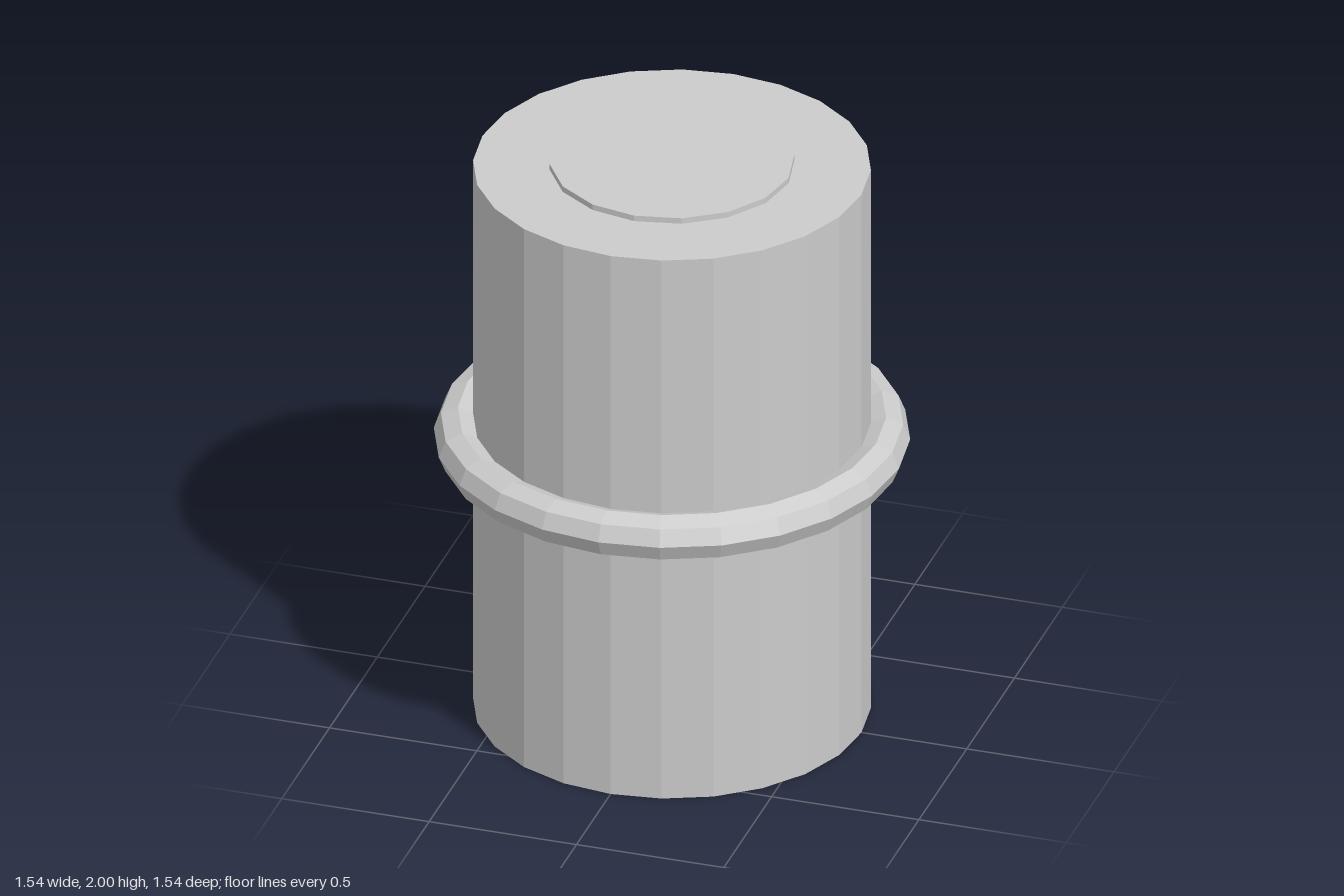
import * as THREE from 'three';

export function createModel() {
  const group = new THREE.Group();
  const material = new THREE.MeshStandardMaterial({ color: 0xcccccc, flatShading: true });

  function add(name, geometry, y) {
    const mesh = new THREE.Mesh(geometry, material);
    mesh.name = name;
    mesh.position.y = y;
    group.add(mesh);
    return mesh;
  }

  // Main barrel, 24 sided
  add('body', new THREE.CylinderGeometry(0.643, 0.643, 1.98, 24), 0.99);

  // Thin raised disc on the top face, 16 sided
  add('topDisc', new THREE.CylinderGeometry(0.396, 0.396, 0.04, 16), 1.98);

  // Octagonal-section band around the middle
  add('middleRing', new THREE.TorusGeometry(0.692, 0.078, 8, 24).rotateX(Math.PI / 2), 0.992);

  return group;
}
